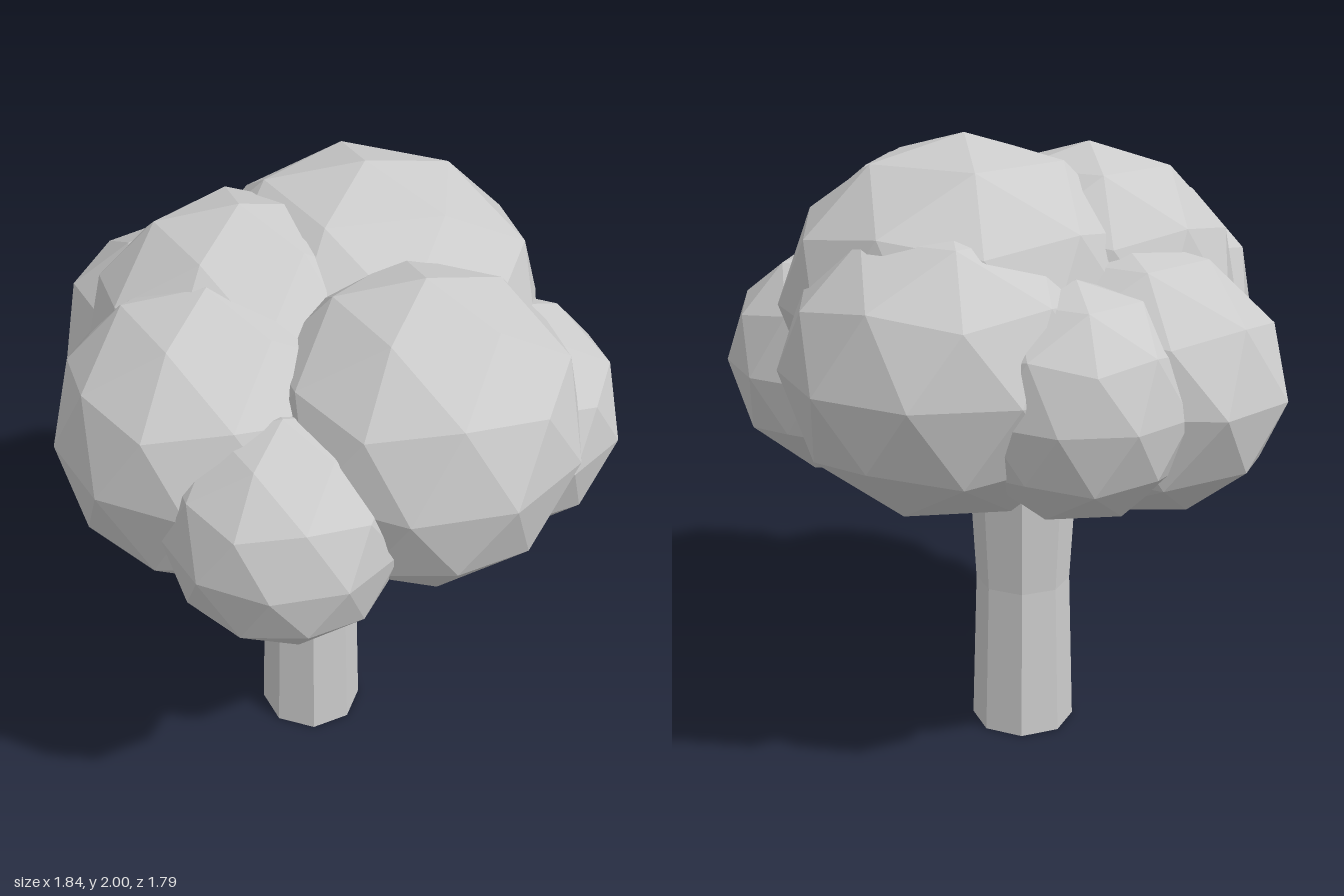
import * as THREE from 'three';

const material = new THREE.MeshStandardMaterial({ color: 0xcccccc, flatShading: true });

// Faceted ball with a corner pointing straight up
function makeBall() {
  const ball = new THREE.IcosahedronGeometry(1, 1);
  ball.rotateZ(-Math.atan(2 / (1 + Math.sqrt(5))));
  ball.computeVertexNormals();
  return ball;
}

export function createModel() {
  const tree = new THREE.Group();
  tree.name = 'tree';

  // Eight-sided trunk, slightly waisted, closed at both ends
  const profile = [[0, 0], [0.17, 0], [0.155, 0.51], [0.187, 1.08], [0, 1.15]]
    .map(([r, y]) => new THREE.Vector2(r, y));
  const trunk = new THREE.Mesh(new THREE.LatheGeometry(profile, 8), material);
  trunk.name = 'trunk';
  trunk.position.set(0.004, 0, 0.037);
  tree.add(trunk);

  // Leaf clumps: name, centre, radii
  const clumps = [
    ['topClump', [0.01, 1.5, -0.2], [0.565, 0.5, 0.565]],
    ['frontClump', [-0.02, 1.38, 0.435], [0.46, 0.463, 0.46]],
    ['leftClump', [0.468, 1.435, 0.09], [0.475, 0.475, 0.48]],
    ['frontLeftClump', [0.35, 1.28, 0.535], [0.347, 0.35, 0.347]],
    ['rightClump', [-0.37, 1.3, 0.05], [0.583, 0.425, 0.43]],
    ['upperRightClump', [-0.14, 1.5, 0.175], [0.47, 0.455, 0.475]],
    ['backClump', [-0.14, 1.365, -0.4], [0.495, 0.455, 0.5]],
    ['backLeftClump', [0.452, 1.255, -0.325], [0.387, 0.38, 0.375]],
    ['backRightClump', [-0.5, 1.3, -0.245], [0.358, 0.35, 0.345]],
  ];
  const ball = makeBall();
  const foliage = new THREE.Group();
  foliage.name = 'foliage';
  for (const [name, centre, radii] of clumps) {
    const clump = new THREE.Mesh(ball, material);
    clump.name = name;
    clump.position.set(...centre);
    clump.scale.set(...radii);
    foliage.add(clump);
  }
  tree.add(foliage);
  return tree;
}
